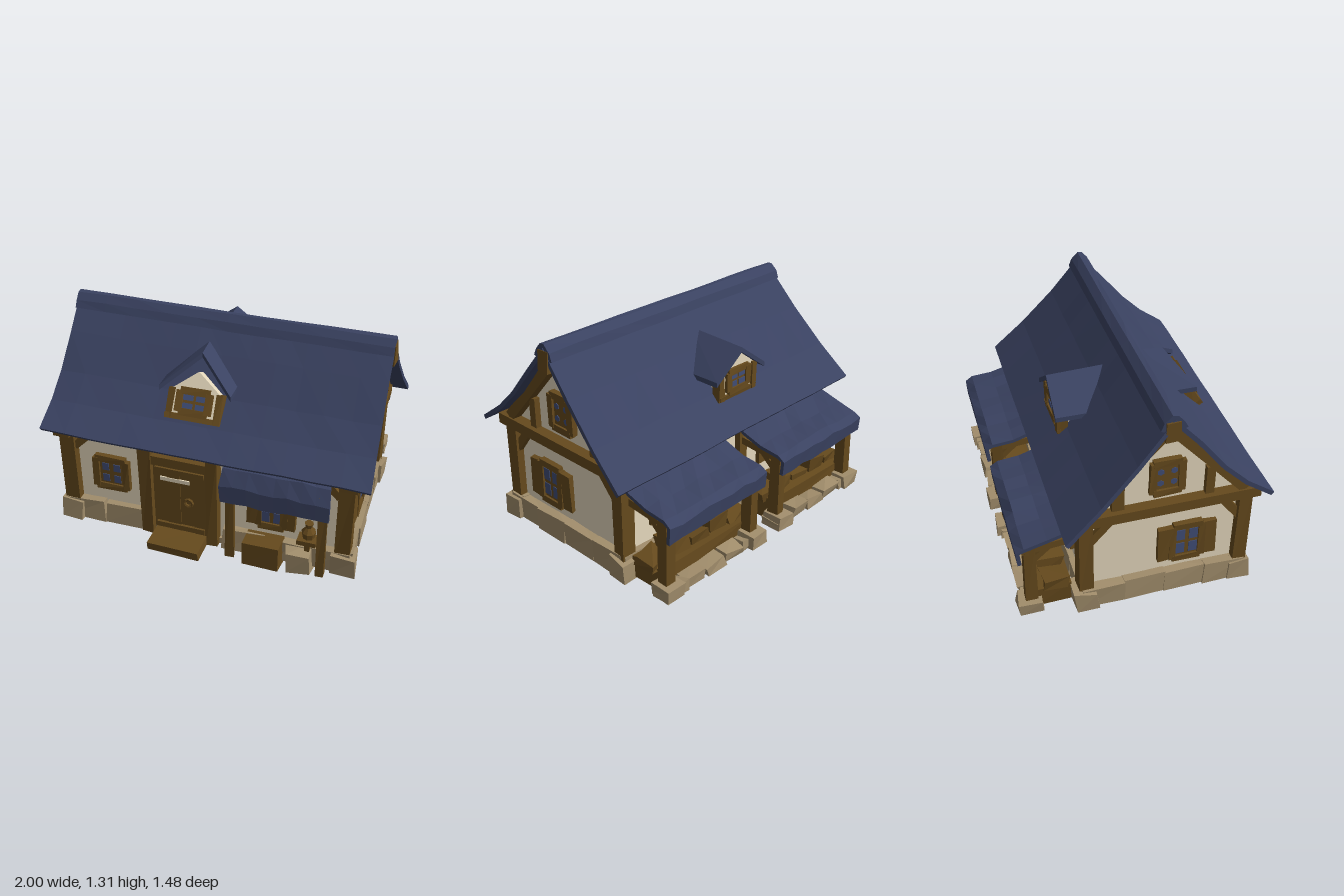
import * as THREE from 'three';

const mat = (name, color, extra = {}) => Object.assign(new THREE.MeshStandardMaterial({ color, flatShading: true, ...extra }), { name });

export function createModel() {
  const house = new THREE.Group();
  house.name = 'cottage';
  const roofBlue = mat('roof blue', 0x3a4261, { side: THREE.DoubleSide });
  const wood = mat('timber brown', 0x664a1d);
  const plaster = mat('cream plaster', 0xebdec2);
  const stone = mat('stone tan', 0xa28e6c);
  const glass = mat('window blue', 0x414e77);

  let seed = 7;
  const rnd = () => (seed = (seed * 16807) % 2147483647) / 2147483647 - 0.5;
  const add = (name, geo, material, parent = house) => {
    const m = new THREE.Mesh(geo, material);
    m.name = name;
    parent.add(m);
    return m;
  };
  // Box given by its limits on each axis, optionally with uneven corners
  const box = (name, material, [x0, x1], [y0, y1], [z0, z1], rough = 0, parent = house) => {
    const g = new THREE.BoxGeometry(x1 - x0, y1 - y0, z1 - z0);
    const p = g.attributes.position, shift = {};
    for (let i = 0; i < p.count && rough; i++) {
      const key = [p.getX(i) > 0, p.getY(i) > 0, p.getZ(i) > 0].join();
      const s = shift[key] ??= [rnd() * rough, p.getY(i) > 0 ? rnd() * rough : 0, rnd() * rough];
      p.setXYZ(i, p.getX(i) + s[0], p.getY(i) + s[1], p.getZ(i) + s[2]);
    }
    g.computeVertexNormals();
    const m = add(name, g, material, parent);
    m.position.set((x0 + x1) / 2, (y0 + y1) / 2, (z0 + z1) / 2);
    return m;
  };
  // Timber between two points
  const beam = (name, a, b, w, h) => {
    const p = new THREE.Vector3(...a), q = new THREE.Vector3(...b);
    const m = add(name, new THREE.BoxGeometry(w, h, p.distanceTo(q)), wood);
    m.position.copy(p).add(q).multiplyScalar(0.5);
    m.lookAt(q);
    return m;
  };
  // Thick sheet swept along x from rows of [z, y, xLeft, xRight]
  const sheet = (name, rows, t, n, wobble) => {
    const s = Math.sign(rows.at(-1)[0] - rows[0][0]), k = rows.length, pos = [], idx = [];
    for (let j = 0; j <= n; j++) {
      const top = [], under = [];
      rows.forEach(([z, y, l, r], i) => {
        const a = rows[Math.max(i - 1, 0)], b = rows[Math.min(i + 1, k - 1)];
        const len = Math.hypot(b[0] - a[0], b[1] - a[1]);
        const nz = -s * (b[1] - a[1]) / len, ny = s * (b[0] - a[0]) / len;
        const x = l + (r - l) * j / n, yy = y + rnd() * wobble;
        top.push([x, yy, z]);
        under.unshift([x, yy - ny * t, z - nz * t]);
      });
      pos.push(...top.flat(), ...under.flat());
    }
    const m = 2 * k;
    const quad = (a, b, c, d) => s > 0 ? idx.push(a, b, c, a, c, d) : idx.push(a, c, b, a, d, c);
    for (let j = 0; j < n; j++) for (let i = 0; i < m; i++) {
      const i2 = (i + 1) % m;
      quad(j * m + i, j * m + i2, (j + 1) * m + i2, (j + 1) * m + i);
    }
    for (let i = 0; i < k - 1; i++) {
      quad(i, m - 1 - i, m - 2 - i, i + 1);
      quad(n * m + i, n * m + i + 1, n * m + m - 2 - i, n * m + m - 1 - i);
    }
    const g = new THREE.BufferGeometry();
    g.setAttribute('position', new THREE.Float32BufferAttribute(pos, 3));
    g.setIndex(idx);
    g.computeVertexNormals();
    return add(name, g, roofBlue);
  };
  // Framed window with four panes and optional shutters, facing local +z
  const win = (name, [x, y, z], turn, w, h, pw, ph, gap, shutter = 0, diamond = false, parent = house) => {
    const g = new THREE.Group();
    g.name = name;
    g.position.set(x, y, z);
    g.rotation.y = turn;
    parent.add(g);
    box('windowBoard', wood, [-w / 2, w / 2], [-h / 2, h / 2], [-0.03, 0.015], 0, g);
    for (const s of [-1, 1]) {
      box('frameSide', wood, [s * w / 2 - 0.02, s * w / 2 + 0.02], [-h / 2, h / 2], [-0.03, 0.03], 0.008, g);
      box('frameRail', wood, [-w / 2, w / 2], [s * h / 2 - 0.02, s * h / 2 + 0.02], [-0.03, 0.028], 0.008, g);
      if (shutter) box('shutter', wood, [s * (w + shutter) / 2 - shutter / 2, s * (w + shutter) / 2 + shutter / 2], [-h / 2, h / 2], [-0.02, 0.025], 0.012, g);
      for (const v of [-1, 1]) {
        const pane = add('pane', diamond ? new THREE.CylinderGeometry(pw / 2, pw / 2, 0.006, 6).rotateX(Math.PI / 2) : new THREE.BoxGeometry(pw, ph, 0.006), glass, g);
        pane.position.set(s * (pw + gap) / 2, v * (ph + gap) / 2, 0.016);
      }
    }
  };

  // Walls and gables as one solid
  const outline = new THREE.Shape([[-0.55, 0.045], [0.36, 0.045], [0.36, 0.75], [-0.1, 1.25], [-0.55, 0.75]].map(p => new THREE.Vector2(...p)));
  const walls = add('walls', new THREE.ExtrudeGeometry(outline, { depth: 1.66, bevelEnabled: false }), plaster);
  walls.rotation.y = Math.PI / 2;
  walls.position.x = -0.82;

  // Stone footing made of uneven blocks
  for (let i = 0; i < 7; i++) {
    const x = -0.86 + i * 0.249;
    if (i !== 2 && i !== 3) box('frontFooting', stone, [x, x + 0.25], [0.03, 0.17], [0.5, 0.6], 0.02);
    box('backFooting', stone, [x, x + 0.25], [0.03, 0.17], [-0.4, -0.3], 0.02);
  }
  box('doorFooting', stone, [-0.37, 0.15], [0.03, 0.07], [0.5, 0.57]);
  for (const s of [-1, 1]) for (let i = 0; i < 4; i++) {
    const z = -0.38 + i * 0.24, a = 0.012 + s * 0.885, b = 0.012 + s * 0.78;
    box('sideFooting', stone, [Math.min(a, b), Math.max(a, b)], [0.03, 0.175], [z, z + 0.24], 0.016);
  }

  // Timber frame on both ends
  for (const s of [-1, 1]) {
    const x = 0.012 + s * 0.835;
    for (const z of [0.56, -0.36]) {
      box('cornerPost', wood, [x - 0.045, x + 0.045], [0.12, 0.68], [z - 0.04, z + 0.04], 0.01);
      box('cornerStone', stone, [x - 0.075, x + 0.075], [0.03, 0.16], [z - 0.065, z + 0.065], 0.025);
    }
    beam('tieBeam', [x + s * 0.01, 0.675, -0.43], [x + s * 0.01, 0.675, 0.64], 0.1, 0.065);
    beam('frontRake', [x + s * 0.01, 1.21, 0.1], [x + s * 0.01, 0.71, 0.55], 0.08, 0.065);
    beam('backRake', [x + s * 0.01, 1.21, 0.1], [x + s * 0.01, 0.68, -0.41], 0.08, 0.065);
    beam('frontBrace', [x, 0.48, 0.55], [x, 0.65, 0.42], 0.05, 0.05);
    beam('backBrace', [x, 0.48, -0.35], [x, 0.65, -0.2], 0.05, 0.05);
    box('gableStud', wood, [x - 0.03, x + 0.03], [0.7, 0.89], [0.32, 0.37]);
    box('gableStud', wood, [x - 0.03, x + 0.03], [0.7, 0.94], [-0.21, -0.14]);
    box('ridgeBeamEnd', wood, [0.025 + s * 0.91 - 0.035, 0.025 + s * 0.91 + 0.035], [1.16, 1.285], [0.05, 0.135], 0.015);
    win('sideWindow', [x, 0.37, 0.235], s * Math.PI / 2, 0.17, 0.24, 0.052, 0.075, 0.024, 0.09);
    win('gableWindow', [x, 0.87, 0.1], s * Math.PI / 2, 0.16, 0.2, 0.04, 0.04, 0.035, 0, true);
    beam('frontCornerBrace', [x - s * 0.04, 0.55, 0.565], [x - s * 0.15, 0.66, 0.565], 0.04, 0.045);
  }
  for (const z of [0.56, -0.37]) beam('wallPlate', [-0.86, 0.685, z], [0.88, 0.685, z], 0.06, 0.05);

  // Door, its posts and the step
  box('doorPost', wood, [-0.37, -0.295], [0.03, 0.67], [0.53, 0.605], 0.01);
  box('doorPost', wood, [0.04, 0.11], [0.03, 0.67], [0.53, 0.605], 0.01);
  box('doorLintel', wood, [-0.3, 0.04], [0.54, 0.6], [0.53, 0.6]);
  for (let i = 0; i < 4; i++) box('doorPlank', wood, [-0.295 + i * 0.083, -0.213 + i * 0.083], [0.05, 0.54], [0.54, 0.572 + (i % 2) * 0.004]);
  for (const y of [0.08, 0.485]) box('doorStrap', wood, [-0.28, 0.02], [y, y + 0.035], [0.56, 0.588]);
  box('doorPeephole', plaster, [-0.25, -0.07], [0.425, 0.45], [0.572, 0.58]);
  const ring = add('doorHandle', new THREE.TorusGeometry(0.025, 0.009, 5, 8), wood);
  ring.position.set(-0.075, 0.3, 0.585);
  box('doorStep', wood, [-0.29, 0.03], [0.01, 0.07], [0.5, 0.735], 0.015);

  // Front and back windows, with studs on the back wall
  win('frontWindow', [-0.565, 0.39, 0.55], 0, 0.19, 0.2, 0.042, 0.05, 0.03);
  win('shopWindow', [0.42, 0.35, 0.55], 0, 0.15, 0.22, 0.046, 0.07, 0.024, 0.07);
  for (const x of [-0.45, 0.48]) win('backWindow', [x, 0.38, -0.36], Math.PI, 0.18, 0.22, 0.052, 0.07, 0.024, 0.09);
  for (const x of [-0.1, 0.13]) box('backStud', wood, [x - 0.035, x + 0.035], [0.12, 0.68], [-0.395, -0.33], 0.01);

  // Main roof with a peaked ridge cap
  sheet('frontRoof', [[0.1, 1.295, -0.91, 0.96], [0.25, 1.125, -0.91, 0.96], [0.4, 0.94, -0.92, 0.965], [0.53, 0.815, -0.93, 0.97], [0.685, 0.705, -0.94, 0.98]], 0.026, 12, 0.008);
  sheet('backRoof', [[0.1, 1.295, -0.91, 0.96], [-0.1, 1.06, -0.94, 0.97], [-0.3, 0.85, -0.97, 0.985], [-0.5, 0.67, -1, 1]], 0.026, 12, 0.008);
  sheet('ridgeCap', [[0.025, 1.232, -0.91, 0.96], [0.042, 1.28, -0.91, 0.96], [0.085, 1.318, -0.91, 0.96], [0.115, 1.318, -0.91, 0.96], [0.148, 1.28, -0.91, 0.96], [0.17, 1.236, -0.91, 0.96]], 0.025, 10, 0.006);

  // Dormers: a front panel with a window and two roof slopes
  const dormer = (name, turn, x, d) => {
    const g = new THREE.Group();
    g.name = name;
    g.position.x = x;
    g.rotation.y = turn;
    house.add(g);
    const face = new THREE.Group();
    face.name = 'dormerFace';
    face.position.set(0, d.y, d.z);
    face.rotation.x = -d.tilt;
    g.add(face);
    const s = new THREE.Shape([[-0.14, 0], [0.14, 0], [0.14, 0.17], [0, 0.28], [-0.14, 0.17]].map(p => new THREE.Vector2(...p)));
    add('dormerWall', new THREE.ExtrudeGeometry(s, { depth: 0.2, bevelEnabled: false }).translate(0, 0, -0.2), plaster, face);
    for (const k of [-1, 1]) {
      box('dormerPost', wood, [k * 0.142 - 0.02, k * 0.142 + 0.02], [0, 0.17], [-0.05, 0.012], 0.008, face);
      // Slope from ridge to eave
      const corners = [[0, d.ridge, d.back], [0, d.ridge - 0.015, d.tip], [k * 0.21, d.eave, d.front], [k * 0.21, d.eave, d.eaveBack]];
      const pos = [...corners, ...corners.map(([a, b, c]) => [a, b - 0.03, c])].flat();
      const geo = new THREE.BufferGeometry();
      geo.setAttribute('position', new THREE.Float32BufferAttribute(pos, 3));
      const f = [[0, 1, 2, 3], [7, 6, 5, 4], [1, 5, 6, 2], [2, 6, 7, 3], [3, 7, 4, 0]];
      geo.setIndex(f.flatMap(([a, b, c, e]) => k > 0 ? [a, b, c, a, c, e] : [a, c, b, a, e, c]));
      geo.computeVertexNormals();
      add('dormerRoof', geo, roofBlue, g);
    }
    box('dormerSill', wood, [-0.16, 0.16], [0, 0.03], [-0.05, 0.012], 0.008, face);
    win('dormerWindow', [0, 0.105, -0.012], 0, 0.17, 0.12, 0.07, 0.036, 0.016, 0, false, face);
  };
  dormer('frontDormer', 0, -0.065, { y: 0.835, z: 0.525, tilt: 0.52, ridge: 1.18, back: 0.17, tip: 0.325, eave: 1.0, front: 0.47, eaveBack: 0.3 });
  dormer('backDormer', Math.PI, -0.085, { y: 0.81, z: 0.345, tilt: 0, ridge: 1.13, back: -0.02, tip: 0.375, eave: 0.96, front: 0.375, eaveBack: 0.14 });

  // Front awning on two posts
  sheet('awning', [[0.56, 0.665, 0.16, 0.75], [0.63, 0.64, 0.15, 0.76], [0.68, 0.55, 0.14, 0.77], [0.685, 0.445, 0.15, 0.77]], 0.02, 8, 0.015);
  for (const x of [0.195, 0.73]) {
    box('awningPost', wood, [x - 0.025, x + 0.025], [0.02, 0.58], [0.61, 0.655], 0.01);
    beam('awningArm', [x, 0.53, 0.54], [x, 0.53, 0.65], 0.04, 0.04);
  }

  // Goods by the front wall
  box('frontCrate', wood, [0.28, 0.5], [0.01, 0.175], [0.56, 0.675], 0.015);
  box('frontSack', stone, [0.52, 0.68], [0.01, 0.16], [0.56, 0.66], 0.04);
  box('stoolTop', wood, [0.59, 0.7], [0.22, 0.25], [0.57, 0.65]);
  const jug = add('jug', new THREE.LatheGeometry([[0, 0], [0.035, 0.01], [0.042, 0.05], [0.018, 0.08], [0.026, 0.11], [0, 0.11]].map(p => new THREE.Vector2(...p)), 8), wood);
  jug.position.set(0.65, 0.25, 0.61);
  box('stoolLeg', wood, [0.63, 0.66], [0.1, 0.23], [0.59, 0.62]);

  // Two back porches with roof, posts, stone edge and a trough of goods
  for (const [l, r] of [[-0.83, -0.06], [0.095, 0.87]]) {
    sheet('porchRoof', [[-0.34, 0.68, l, r], [-0.43, 0.605, l, r], [-0.56, 0.565, l, r], [-0.69, 0.545, l, r], [-0.735, 0.51, l, r], [-0.728, 0.42, l, r]], 0.022, 8, 0.02);
    beam('porchBeam', [l + 0.02, 0.49, -0.66], [r - 0.02, 0.49, -0.66], 0.05, 0.05);
    for (const x of [l + 0.05, r - 0.05]) {
      box('porchPost', wood, [x - 0.032, x + 0.032], [0.1, 0.52], [-0.69, -0.625], 0.012);
      box('porchPostStone', stone, [x - 0.06, x + 0.06], [0.04, 0.125], [-0.735, -0.6], 0.02);
      beam('porchRafter', [x, 0.52, -0.36], [x, 0.49, -0.7], 0.045, 0.045);
      beam('porchBrace', [x, 0.4, -0.65], [x, 0.49, -0.55], 0.035, 0.035);
    }
    box('porchTrough', wood, [l + 0.04, r - 0.04], [0.045, 0.18], [-0.63, -0.42], 0.02);
    const w = (r - l) / 5;
    for (let i = 0; i < 5; i++) {
      const x = l + i * w;
      box('porchStone', stone, [x + 0.01, x + w], [0.04, 0.1], [-0.71, -0.6], 0.03);
      box('porchGoods', wood, [x + 0.02, x + w - 0.015], [0.16, 0.225 + (i % 2) * 0.04], [-0.59, -0.45], 0.04);
    }
  }
  return house;
}
